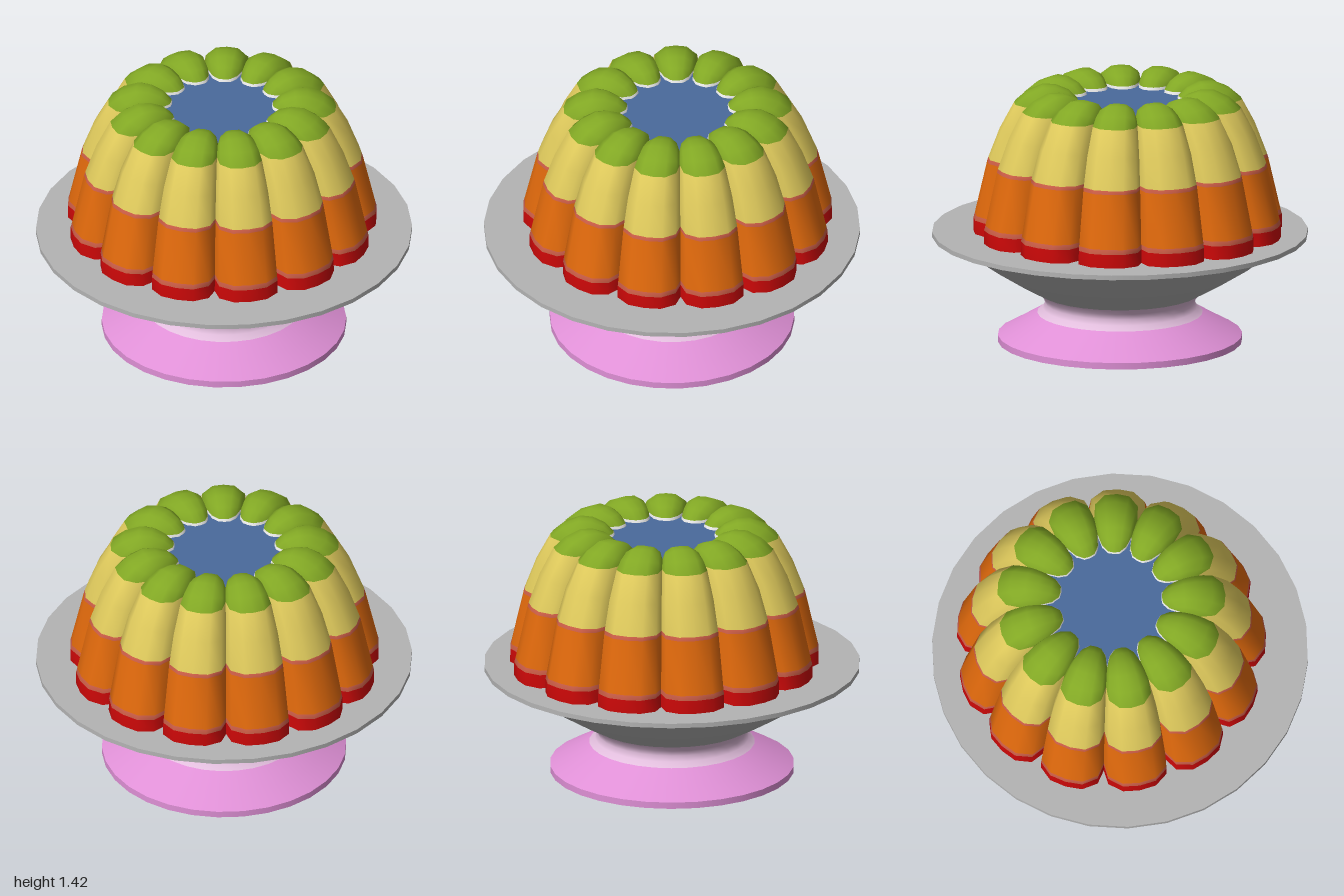
import * as THREE from 'three';

const mat = (name, color) => {
  const m = new THREE.MeshStandardMaterial({ color });
  m.name = name;
  return m;
};

const SIDES = 30;
const LOBES = 13;

export function createModel() {
  const model = new THREE.Group();
  model.name = 'jellyOnCakeStand';

  const grey = mat('plateGrey', 0xb4b4b4);
  const pink = mat('pink', 0xdf90d6);
  const palePink = mat('palePink', 0xe2bedd);
  const red = mat('red', 0xcc0808);
  const blend = mat('layerBlend', 0xcf5f48);
  const orange = mat('orange', 0xe0690c);
  const yellow = mat('yellow', 0xdfca5c);
  const green = mat('green', 0x82a824);
  const white = mat('white', 0xe4e4e4);
  const blue = mat('blue', 0x4a6a9c);

  // Cake stand: one lathe per smooth section, so edges between them stay sharp
  const stand = new THREE.Group();
  stand.name = 'cakeStand';
  const section = (name, material, points) => {
    const geo = new THREE.LatheGeometry(points.map(([r, y]) => new THREE.Vector2(r, y)), SIDES);
    const mesh = new THREE.Mesh(geo, material);
    mesh.name = name;
    stand.add(mesh);
  };
  section('footUnderside', grey, [[0, 0], [0.51, 0], [0.65, 0.025]]);
  section('footRim', pink, [[0.65, 0.025], [0.65, 0.06]]);
  section('footTop', pink, [[0.65, 0.06], [0.55, 0.115], [0.44, 0.18]]);
  section('neck', palePink, [[0.44, 0.18], [0.41, 0.205], [0.398, 0.235], [0.408, 0.265], [0.435, 0.295]]);
  section('plateUnderside', grey, [[0.435, 0.295], [0.56, 0.365], [0.72, 0.465], [0.9, 0.6]]);
  section('plateLip', grey, [[0.9, 0.6], [1, 0.602]]);
  section('plateRim', grey, [[1, 0.602], [1, 0.627]]);
  section('plateTop', grey, [[1, 0.627], [0, 0.627]]);
  stand.rotation.y = Math.PI / SIDES;
  model.add(stand);

  // Jelly: each row is ridge radius, ridge height, valley radius, valley height,
  // and the layer colour of the band above it
  const rows = [
    [0.825, 0.627, 0.70, 0.627, 0],
    [0.825, 0.70, 0.695, 0.70, 1],
    [0.818, 0.725, 0.69, 0.725, 2],
    [0.752, 1.01, 0.63, 1.01, 1],
    [0.746, 1.03, 0.625, 1.03, 3],
    [0.685, 1.19, 0.575, 1.18, 3],
    [0.61, 1.33, 0.48, 1.325, 4],
    [0.545, 1.387, 0.45, 1.34, 4],
    [0.46, 1.424, 0.425, 1.348, 4],
    [0.39, 1.422, 0.405, 1.35, 4],
    [0.32, 1.395, 0.395, 1.35, 4],
    [0.272, 1.35, 0.38, 1.348, 5],
    [0.262, 1.31, 0.33, 1.31, 5],
  ];
  const layers = [red, blend, orange, yellow, green, white];

  // Cross-section of a lobe: position across it, and how far it bulges from the valley
  const across = [[-1, 0], [-0.85, 0.6], [-0.45, 0.95], [0, 1], [0.45, 0.95], [0.85, 0.6], [1, 0]];

  const positions = [];
  const indices = [];
  const lobeGeo = new THREE.BufferGeometry();
  const n = across.length;
  rows.forEach(([ridgeR, ridgeY, valleyR, valleyY, layer], j) => {
    for (const [u, bulge] of across) {
      const a = u * Math.PI / LOBES;
      const r = THREE.MathUtils.lerp(valleyR, ridgeR, bulge);
      const y = THREE.MathUtils.lerp(valleyY, ridgeY, bulge);
      positions.push(r * Math.sin(a), y, r * Math.cos(a));
    }
    if (j === rows.length - 1) return;
    const start = indices.length;
    for (let i = 0; i < n - 1; i++) {
      const p = j * n + i;
      indices.push(p, p + 1, p + n, p + 1, p + n + 1, p + n);
    }
    lobeGeo.addGroup(start, indices.length - start, layer);
  });
  lobeGeo.setAttribute('position', new THREE.Float32BufferAttribute(positions, 3));
  lobeGeo.setIndex(indices);
  lobeGeo.computeVertexNormals();

  const jelly = new THREE.Group();
  jelly.name = 'jelly';
  for (let k = 0; k < LOBES; k++) {
    const lobe = new THREE.Mesh(lobeGeo, layers);
    lobe.name = 'jellyLobe';
    lobe.rotation.y = (k * 2 * Math.PI) / LOBES;
    jelly.add(lobe);
  }

  // Filling in the middle hole
  const filling = new THREE.Mesh(new THREE.CircleGeometry(0.365, 39), blue);
  filling.name = 'filling';
  filling.rotation.x = -Math.PI / 2;
  filling.position.y = 1.335;
  jelly.add(filling);

  // The jelly sits slightly off-centre on the plate
  jelly.position.set(-0.045, 0, -0.025);
  jelly.rotation.y = 0.04;
  model.add(jelly);

  return model;
}
